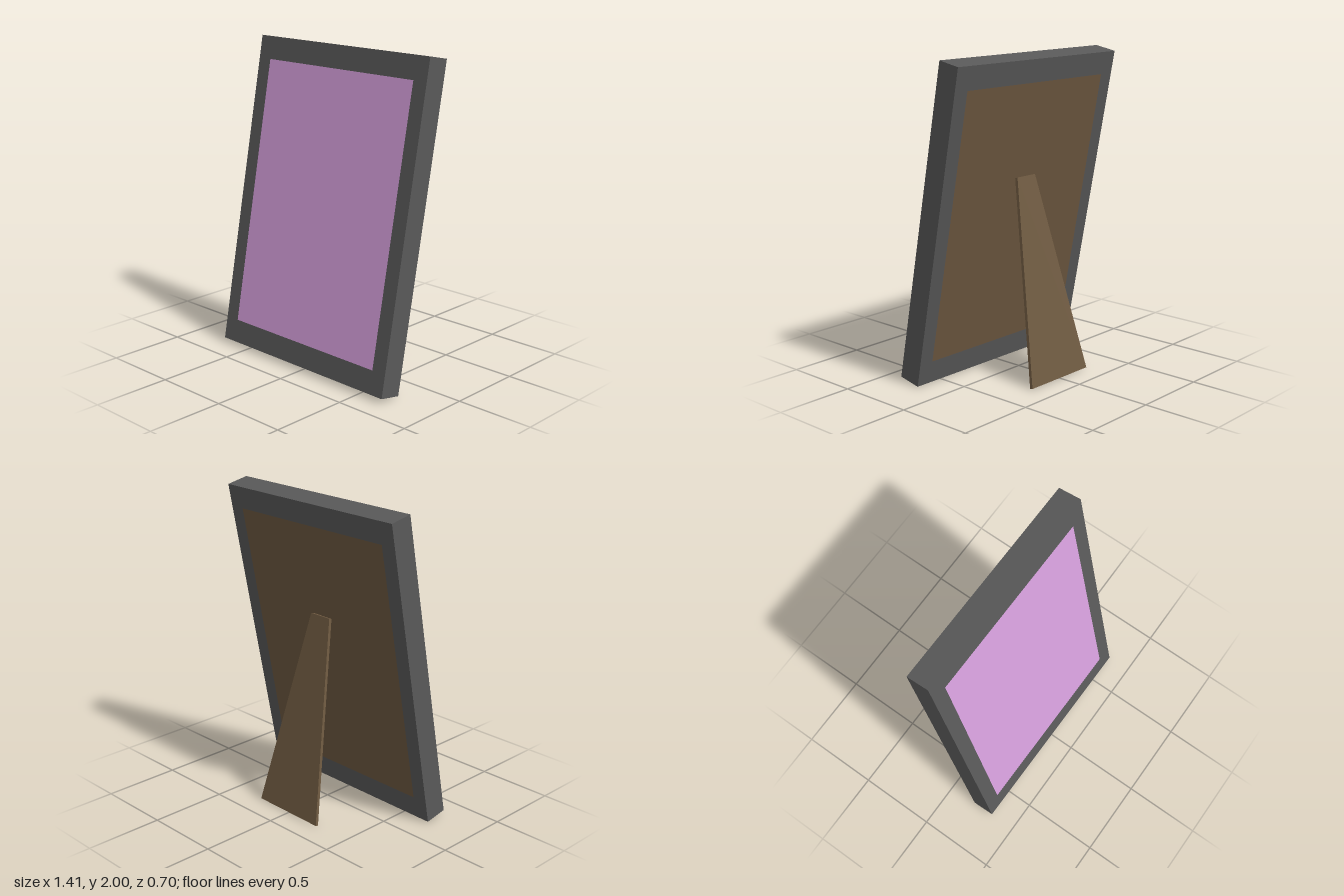
import * as THREE from 'three';

const frameMat = new THREE.MeshStandardMaterial({ color: 0x595959 });
frameMat.name = 'frame charcoal';
const pictureMat = new THREE.MeshStandardMaterial({ color: 0xd69fdc });
pictureMat.name = 'picture lilac';
const boardMat = new THREE.MeshStandardMaterial({ color: 0x6e5940 });
boardMat.name = 'board brown';

const WIDTH = 1.4, HEIGHT = 2.005, DEPTH = 0.15;
const OPEN_W = 1.2, OPEN_H = 1.714;

function outline(points) {
  return points.map(([x, y]) => new THREE.Vector2(x, y));
}

function rectangle(w, h) {
  return outline([[-w / 2, -h / 2], [w / 2, -h / 2], [w / 2, h / 2], [-w / 2, h / 2]]);
}

// Flat slab extruded from a shape and centred on its thickness
function slab(name, shape, depth, material) {
  const geometry = new THREE.ExtrudeGeometry(shape, { depth, bevelEnabled: false });
  geometry.translate(0, 0, -depth / 2);
  const mesh = new THREE.Mesh(geometry, material);
  mesh.name = name;
  return mesh;
}

function box(name, w, h, d, z, material) {
  const mesh = new THREE.Mesh(new THREE.BoxGeometry(w, h, d), material);
  mesh.position.z = z;
  mesh.name = name;
  return mesh;
}

export function createModel() {
  const model = new THREE.Group();
  model.name = 'pictureFrame';

  // Leaning body: border with the picture and backing flush in its opening
  const body = new THREE.Group();
  body.name = 'leaningBody';
  const border = new THREE.Shape(rectangle(WIDTH, HEIGHT));
  border.holes.push(new THREE.Path(rectangle(OPEN_W, OPEN_H).reverse()));
  body.add(slab('border', border, DEPTH, frameMat));
  body.add(box('picture', OPEN_W, OPEN_H, 0.009, DEPTH / 2 - 0.0045, pictureMat));
  body.add(box('backing', OPEN_W, OPEN_H, DEPTH - 0.009, -0.0045, boardMat));
  body.position.set(0, 1.002, 0.0775);
  body.rotation.x = -0.191;
  model.add(body);

  // Tapered easel leg, wider at the foot
  const half = 1.274 / 2;
  const leg = slab('easelLeg', new THREE.Shape(
    outline([[-0.257, -half], [0.257, -half], [0.08, half], [-0.08, half]])), 0.02, boardMat);
  leg.position.set(0, 0.623, -0.196);
  leg.rotation.x = 0.226;
  model.add(leg);

  // The whole piece is turned very slightly
  model.rotation.y = -0.0107;
  return model;
}
